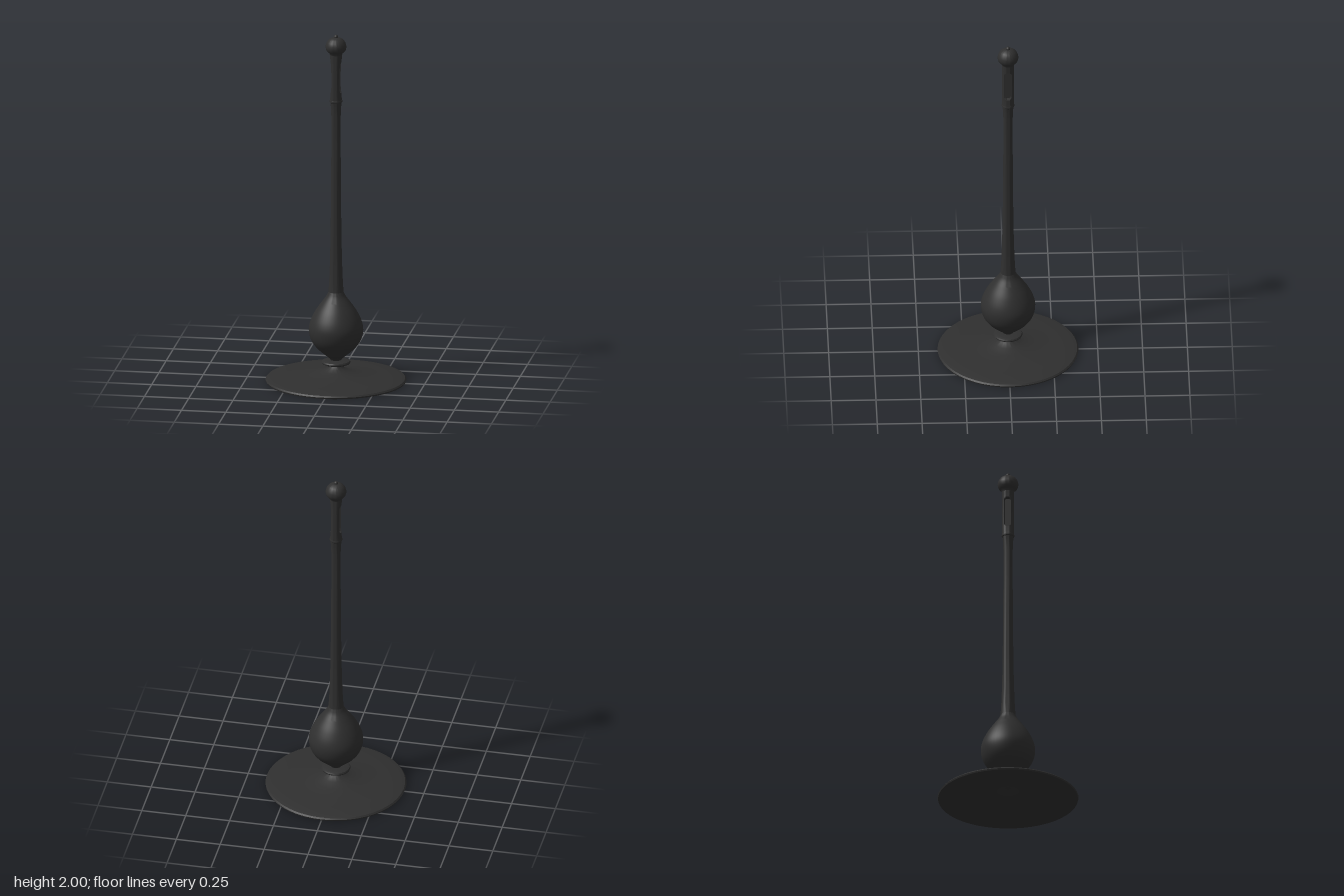
import * as THREE from 'three';
import { toCreasedNormals } from 'three/addons/utils/BufferGeometryUtils.js';

const dark = new THREE.MeshStandardMaterial({ color: 0x2f2f2f, side: THREE.DoubleSide });

const v2 = (pts) => pts.map(([r, y]) => new THREE.Vector2(r, y));

// Turned part: profile of [radius, height] from bottom to top, optionally splined.
function turned(name, pts, { smooth = 0, crease = 0.6 } = {}) {
  let profile = v2(pts);
  if (smooth) profile = new THREE.SplineCurve(profile).getPoints(smooth);
  const mesh = new THREE.Mesh(toCreasedNormals(new THREE.LatheGeometry(profile, 48), crease), dark);
  mesh.name = name;
  return mesh;
}

// Grip: waisted on the left and right, with a rounded slot sunk into each of those sides.
function grip() {
  const y0 = 1.62, y1 = 1.9, rows = 56;
  const profile = [];
  for (let i = 0; i <= rows; i++) profile.push([0.034, y0 + ((y1 - y0) * i) / rows]);
  const geo = new THREE.LatheGeometry(v2(profile), 72);
  const p = geo.attributes.position;
  const slotHalf = 0.018, slotLow = 1.685, slotHigh = 1.825;
  for (let i = 0; i < p.count; i++) {
    const x = p.getX(i), y = p.getY(i), z = p.getZ(i);
    const t = (y - y0) / (y1 - y0);
    const waisted = x * (1 - 0.17 * Math.sin(Math.PI * Math.pow(t, 0.8)));
    const dy = y - THREE.MathUtils.clamp(y, slotLow, slotHigh);
    const inSlot = Math.hypot(z, dy) < slotHalf;
    p.setX(i, inSlot ? Math.sign(x) * 0.012 : waisted);
  }
  const mesh = new THREE.Mesh(toCreasedNormals(geo, 0.6), dark);
  mesh.name = 'slottedGrip';
  return mesh;
}

export function createModel() {
  const model = new THREE.Group();
  model.name = 'standWithHandle';

  // Hollow flared foot: underside first, then rim and upper surface
  model.add(turned('base', [
    [0, 0.068], [0.02, 0.066], [0.04, 0.054], [0.09, 0.04], [0.16, 0.029], [0.25, 0.019],
    [0.34, 0.01], [0.384, 0.001], [0.39, 0], [0.393, 0.008], [0.386, 0.016], [0.36, 0.022],
    [0.29, 0.028], [0.2, 0.036], [0.13, 0.046], [0.08, 0.059], [0.05, 0.072], [0.034, 0.086], [0.03, 0.1],
  ]));

  // Thin collar between foot and bulb
  model.add(turned('collar', [
    [0.028, 0.094], [0.066, 0.096], [0.078, 0.101], [0.081, 0.108], [0.077, 0.115], [0.064, 0.119], [0.028, 0.121],
  ]));

  // Drop-shaped bulb
  model.add(turned('bulb', [
    [0.028, 0.115], [0.036, 0.13], [0.07, 0.158], [0.11, 0.195], [0.14, 0.24], [0.152, 0.295],
    [0.143, 0.345], [0.117, 0.4], [0.083, 0.45], [0.055, 0.488], [0.042, 0.515],
  ], { smooth: 48 }));

  // Long tapering stem
  model.add(turned('stem', [
    [0.042, 0.515], [0.038, 0.58], [0.034, 0.68], [0.03, 0.85], [0.028, 1.1], [0.026, 1.35],
    [0.026, 1.52], [0.028, 1.575], [0.031, 1.608], [0.035, 1.612], [0.036, 1.618], [0.034, 1.624], [0, 1.624],
  ]));

  model.add(grip());

  // Round knob with a small tip
  model.add(turned('knob', [
    [0, 1.885], [0.034, 1.885], [0.038, 1.896], [0.046, 1.902], [0.054, 1.912], [0.058, 1.928], [0.057, 1.942],
    [0.051, 1.958], [0.041, 1.971], [0.028, 1.98], [0.012, 1.985], [0, 1.985],
  ]));
  const tip = new THREE.Mesh(new THREE.SphereGeometry(0.012, 24, 16), dark);
  tip.name = 'knobTip';
  tip.position.y = 1.988;
  model.add(tip);

  return model;
}
